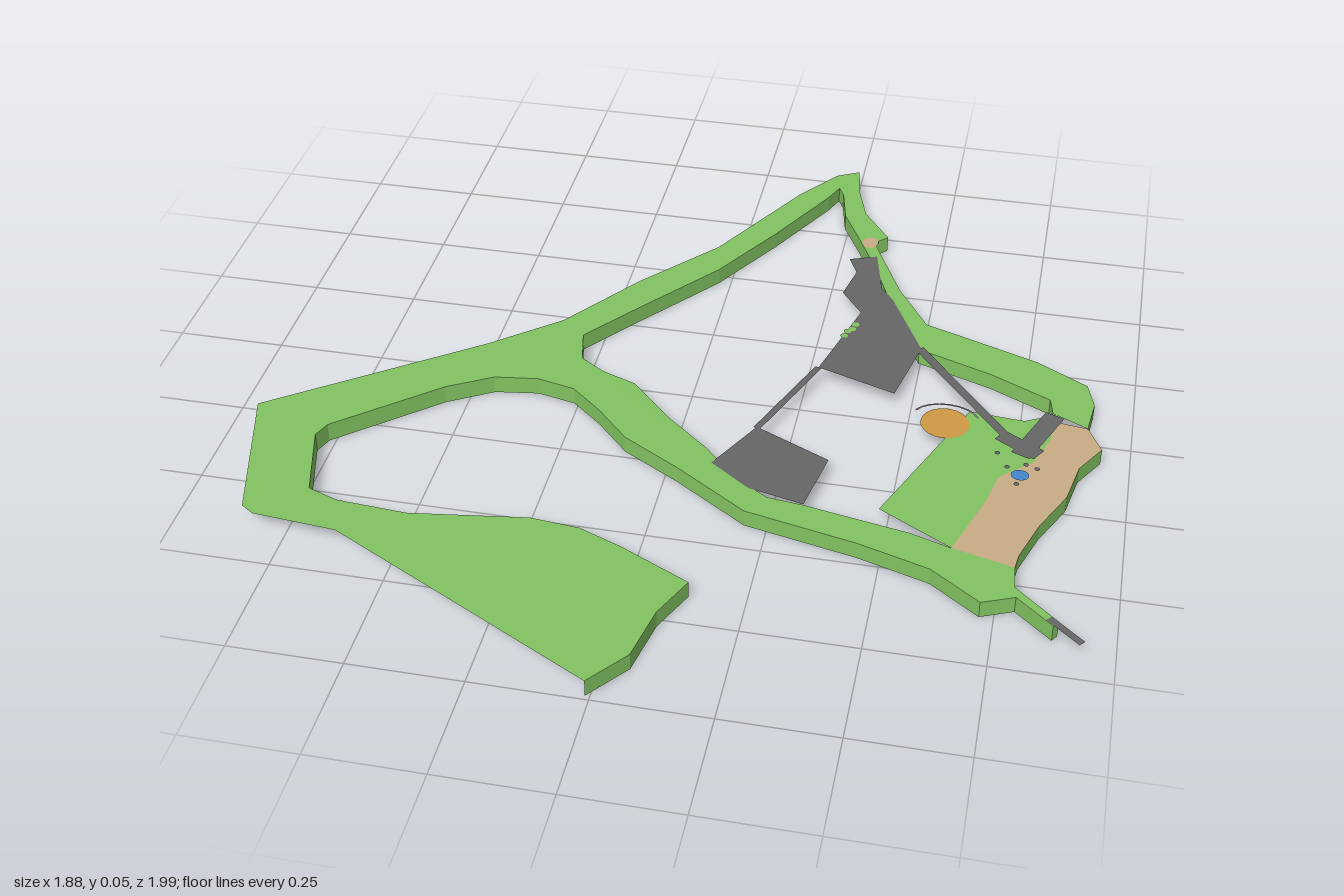
import * as THREE from 'three';

const mat = (name, color) => {
  const m = new THREE.MeshStandardMaterial({ color, side: THREE.DoubleSide });
  m.name = name;
  return m;
};

// Outlines are [x, z] pairs seen from above.
const eastAndNorthBank = [
  [.90, -.01], [.91, -.10], [.89, -.17], [.77, -.24], [.61, -.30], [.50, -.34], [.42, -.47],
  [.37, -.58], [.33, -.67], [.36, -.70], [.29, -.80], [.26, -.90], [.245, -1], [.19, -.97],
  [.11, -.86], [-.05, -.57], [-.21, -.38], [-.35, -.18], [-.50, -.05],
];
const cutWestEdge = [[-.945, .285], [-.85, .63], [-.82, .65], [-.63, .665]];
const southBank = [
  [-.01, .99], [.06, .90], [.085, .77], [.13, .67], [-.03, .59], [-.13, .55], [-.24, .54],
  [-.37, .56], [-.50, .58], [-.66, .57], [-.73, .545], [-.78, .365], [-.765, .325], [-.55, .135],
  [-.45, .075], [-.35, .06], [-.26, .08], [-.185, .145], [-.105, .23], [.03, .31], [.20, .425],
  [.45, .48], [.61, .53], [.72, .61], [.79, .58], [.87, .65], [.88, .635], [.785, .55], [.78, .49],
];
const innerBank = [
  [.645, .455], [.555, .425], [.32, .38], [.24, .37], [.16, .32], [.08, .23], [-.03, .135],
  [-.13, .03], [-.21, 0], [-.27, -.04], [-.29, -.13], [-.185, -.27], [-.03, -.47], [.08, -.66],
  [.185, -.86], [.205, -.91], [.22, -.88], [.24, -.78], [.29, -.68], [.33, -.595], [.37, -.50],
  [.41, -.40], [.46, -.31], [.495, -.235], [.67, -.17], [.81, -.10], [.82, -.05],
];
const sandOuterEdge = [
  [.90, -.01], [.935, .06], [.89, .135], [.87, .24], [.82, .345], [.785, .45], [.78, .49],
];
const sandInnerEdge = [
  [.785, .55], [.71, .49], [.645, .455], [.70, .29], [.72, .20], [.79, .135], [.82, .05], [.83, -.02],
];

// The ground rises slightly towards the west.
const topY = (x) => 0.04 + Math.max(0, -x) * 0.007;

export function createModel() {
  const group = new THREE.Group();
  const green = mat('grass green', 0x82c361);
  const grey = mat('paving grey', 0x666666);
  const tan = mat('sand tan', 0xc8ad84);
  const orange = mat('clay orange', 0xd09a45);
  const blue = mat('water blue', 0x4488cc);

  const add = (name, geo, material) => {
    const m = new THREE.Mesh(geo, material);
    m.name = name;
    group.add(m);
    return m;
  };

  // Flat sheet following the ground height
  const sheet = (name, pts, material, lift = 0) => {
    const geo = new THREE.ShapeGeometry(new THREE.Shape(pts.map(([x, z]) => new THREE.Vector2(x, -z))));
    geo.rotateX(-Math.PI / 2);
    const p = geo.attributes.position;
    for (let i = 0; i < p.count; i++) p.setY(i, topY(p.getX(i)) + lift);
    geo.computeVertexNormals();
    return add(name, geo, material);
  };

  // Vertical skirt hanging from an edge down to the base
  const wall = (name, pts, material) => {
    const pos = [];
    for (let i = 0; i < pts.length - 1; i++) {
      const [ax, az] = pts[i], [bx, bz] = pts[i + 1];
      const a = [ax, 0, az], b = [bx, 0, bz], c = [bx, topY(bx), bz], d = [ax, topY(ax), az];
      pos.push(...a, ...c, ...b, ...a, ...d, ...c);
    }
    const geo = new THREE.BufferGeometry();
    geo.setAttribute('position', new THREE.Float32BufferAttribute(pos, 3));
    geo.computeVertexNormals();
    return add(name, geo, material);
  };

  // Straight flat strip between two points
  const strip = (name, [ax, az], [bx, bz], width, material, lift) => {
    const l = Math.hypot(bx - ax, bz - az);
    const nx = -(bz - az) / l * width / 2, nz = (bx - ax) / l * width / 2;
    sheet(name, [[ax + nx, az + nz], [bx + nx, bz + nz], [bx - nx, bz - nz], [ax - nx, az - nz]], material, lift);
  };

  const disc = (name, x, z, rx, rz, material, lift) => {
    const pts = [];
    for (let i = 0; i < 20; i++) {
      const t = i / 20 * Math.PI * 2;
      pts.push([x + rx * Math.cos(t), z + rz * Math.sin(t)]);
    }
    sheet(name, pts, material, lift);
  };

  // Looping green land with skirts along the natural banks
  sheet('greenLand', [...eastAndNorthBank, ...cutWestEdge, ...southBank, ...innerBank], green);
  wall('northBank', eastAndNorthBank, green);
  wall('southBank', southBank, green);
  wall('innerBank', innerBank, green);

  // Sandy east shore
  sheet('sandShore', [...sandOuterEdge, ...sandInnerEdge], tan);
  wall('shoreBank', sandOuterEdge, green);
  disc('sandPatch', .32, -.665, .02, .025, tan, .002);

  // Lawn beside the shore
  sheet('lawn', [[.48, .36], [.635, -.02], [.76, -.01], [.83, -.05], [.83, -.02], [.82, .05],
    [.79, .135], [.72, .20], [.70, .29], [.645, .455]], green);

  // Paved plots
  sheet('northPlot', [[.28, -.58], [.345, -.605], [.375, -.47], [.41, -.42], [.50, -.235], [.46, -.05],
    [.275, -.115], [.34, -.355], [.285, -.43], [.305, -.525]], grey, .002);
  sheet('southPlot', [[.175, .135], [.35, .22], [.32, .38], [.195, .35], [.10, .28]], grey, .002);

  // Paths
  strip('plotPath', [.275, -.115], [.175, .14], .016, grey, .002);
  strip('lawnPath', [.495, -.235], [.75, .09], .022, grey, .003);
  strip('shorePath', [.76, .12], [.825, -.04], .045, grey, .003);
  strip('pathJunction', [.71, .055], [.80, .11], .04, grey, .003);
  strip('pierTip', [.86, .63], [.93, .69], .016, grey, .001);

  // Clay circle with a thin arc beside it
  disc('clayCircle', .585, .035, .055, .055, orange, .001);
  const arc = [];
  for (let i = 0; i <= 8; i++) {
    const t = Math.PI * (1.12 + i / 8 * .78);
    arc.push([.585 + .075 * Math.cos(t), .02 + .055 * Math.sin(t)]);
  }
  for (let i = 0; i < 8; i++) strip('arcPath', arc[i], arc[i + 1], .005, grey, .001);

  // Pond and small scattered dots
  disc('pond', .765, .19, .02, .018, blue, .004);
  for (const [x, z] of [[.71, .12], [.735, .165], [.775, .15], [.80, .16], [.76, .22]])
    disc('pebble', x, z, .006, .006, grey, .003);
  for (const [x, z] of [[.315, -.25], [.33, -.28], [.335, -.30], [.32, -.27]])
    disc('shrub', x, z, .009, .009, green, .004);

  return group;
}
